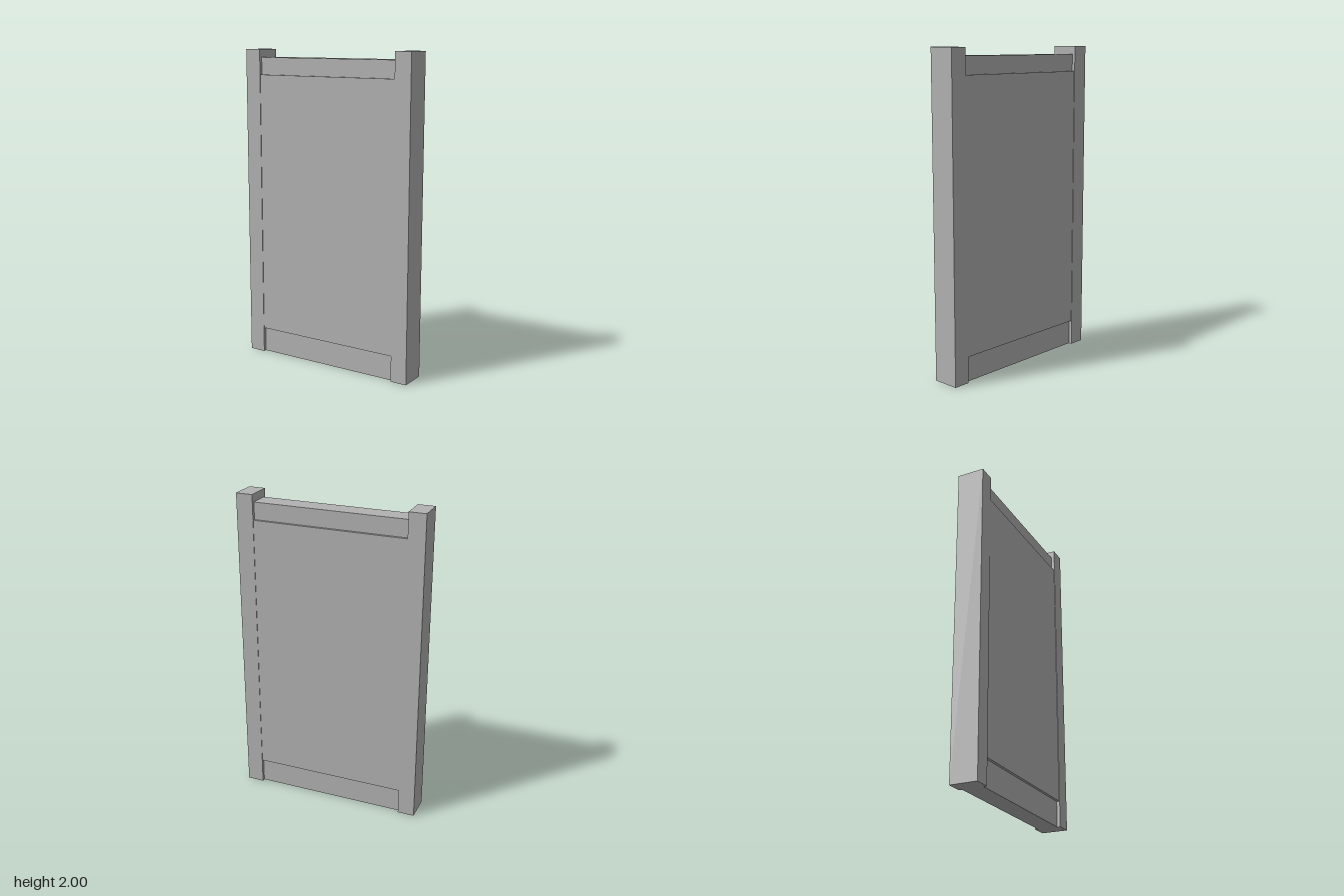
import * as THREE from 'three';

export function createModel() {
  const model = new THREE.Group();
  const grey = new THREE.MeshStandardMaterial({ color: 0xb2b2b2 });
  grey.name = 'plain grey';

  // Box spanning y0..y1, centred on z = 0
  function addBox(name, x, width, y0, y1, depth) {
    const mesh = new THREE.Mesh(new THREE.BoxGeometry(width, y1 - y0, depth), grey);
    mesh.position.set(x, (y0 + y1) / 2, 0);
    mesh.name = name;
    model.add(mesh);
  }

  const half = 0.595, postWidth = 0.107, inner = 2 * (half - postWidth);

  // Side posts, slightly proud of the panel and taller than the top rail
  for (const side of [1, -1]) {
    addBox(side > 0 ? 'leftPost' : 'rightPost', side * (half - postWidth / 2), postWidth, 0, 2, 0.172);
  }

  // Main panel, with recessed rails above and below it
  addBox('panel', 0, inner, 0.163, 1.842, 0.165);
  addBox('topRail', 0, inner, 1.842, 1.95, 0.131);
  addBox('bottomRail', 0, inner, 0, 0.163, 0.131);

  return model;
}
